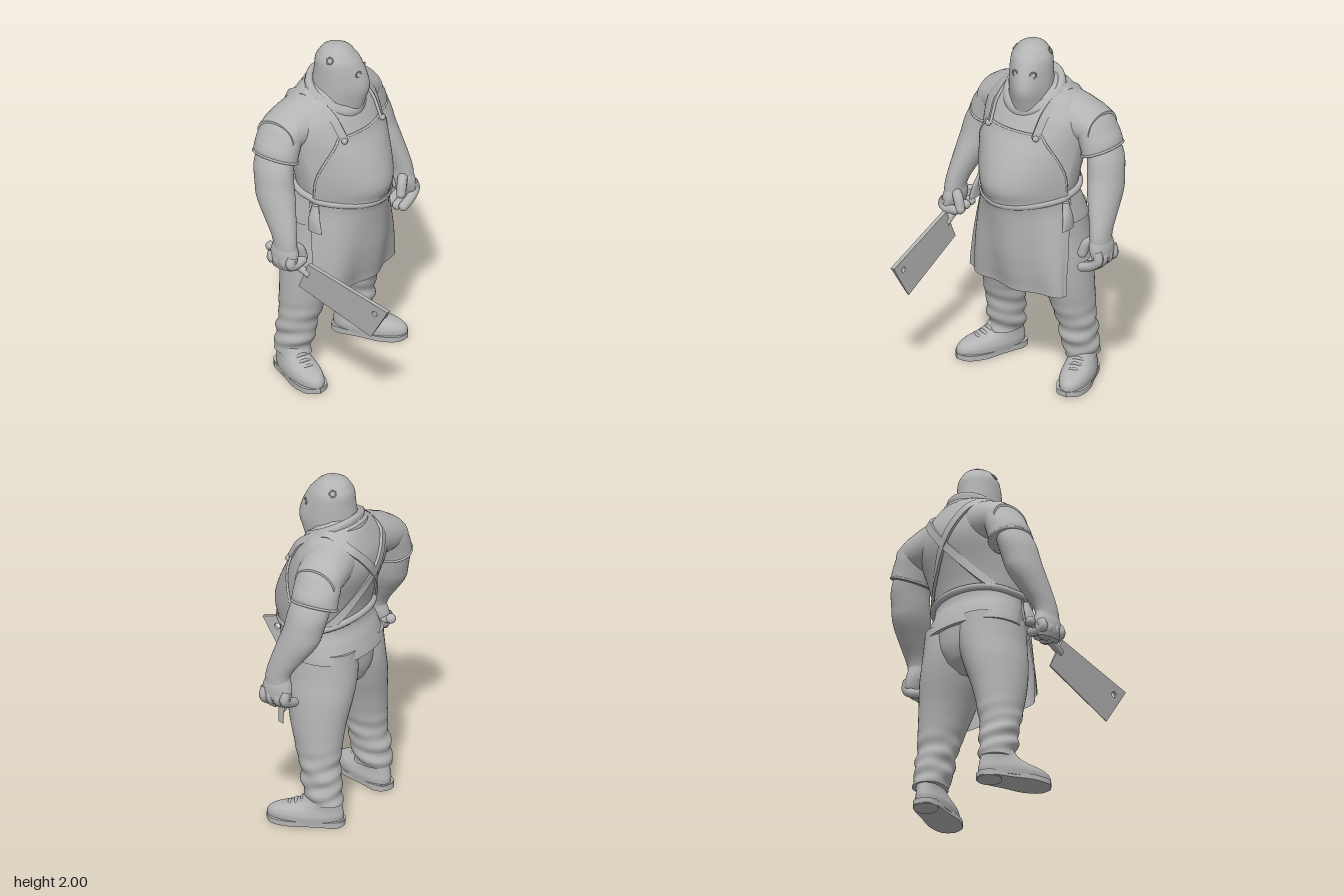
import * as THREE from 'three';
import { toCreasedNormals } from 'three/addons/utils/BufferGeometryUtils.js';

const clay = new THREE.MeshStandardMaterial({ color: 0xb4b4b4, side: THREE.DoubleSide });
clay.name = 'clayGrey';
const V = (x, y, z) => new THREE.Vector3(x, y, z);
function add(parent, name, geo) {
  const m = new THREE.Mesh(geo, clay);
  m.name = name;
  parent.add(m);
  return m;
}
// Surface through a list of rings; closed rings also get end caps
function skin(rings, closed = true, crease = 0.9) {
  const n = rings[0].length, pos = [], idx = [];
  rings.forEach(r => r.forEach(p => pos.push(p.x, p.y, p.z)));
  for (let i = 0; i < rings.length - 1; i++) {
    for (let j = 0; j < (closed ? n : n - 1); j++) {
      const a = i * n + j, b = i * n + (j + 1) % n;
      idx.push(a, b, b + n, a, b + n, a + n);
    }
  }
  if (closed) [0, rings.length - 1].forEach((i, top) => {
    const c = rings[i].reduce((s, p) => s.add(p), V(0, 0, 0)).divideScalar(n);
    const ci = pos.length / 3;
    pos.push(c.x, c.y, c.z);
    for (let j = 0; j < n; j++) {
      const a = i * n + j, b = i * n + (j + 1) % n;
      if (top) idx.push(a, b, ci); else idx.push(b, a, ci);
    }
  });
  const g = new THREE.BufferGeometry();
  g.setAttribute('position', new THREE.Float32BufferAttribute(pos, 3));
  g.setIndex(idx);
  return toCreasedNormals(g, crease);
}
// Rows are [y, centreX, centreZ, radiusX, radiusZ, tilt, back squareness, front pointedness], rising in y
function section(rows, y) {
  let i = 0;
  while (i < rows.length - 2 && y > rows[i + 1][0]) i++;
  const t = (y - rows[i][0]) / (rows[i + 1][0] - rows[i][0]);
  const at = (k, c) => rows[Math.max(0, Math.min(rows.length - 1, k))][c] || 0;
  return [0, 1, 2, 3, 4, 5, 6, 7].map(c => {
    const p0 = at(i - 1, c), p1 = at(i, c), p2 = at(i + 1, c), p3 = at(i + 2, c);
    if (c === 0) return y;
    return p1 + 0.5 * t * (p2 - p0 + t * (2 * p0 - 5 * p1 + 4 * p2 - p3 + t * (3 * (p1 - p2) + p3 - p0)));
  });
}
function ringPoint(rows, a, y, off = 0) {
  const [, cx, cz, rx, rz, tilt, back, front] = section(rows, y);
  const dx = (rx + off) * Math.sin(a), c = Math.cos(a);
  return V(cx + dx, y + tilt * dx, cz + (rz + off) * (c < 0 ? -Math.pow(-c, 1 - back) : Math.pow(c, 1 + front)));
}
function loft(rows, { n = 40, sub = 5, a = Math.PI, range = null, wave = () => 0, closed = true } = {}) {
  const rings = [], last = (rows.length - 1) * sub;
  for (let s = 0; s <= last; s++) {
    const i = Math.min(rows.length - 2, Math.floor(s / sub));
    const y = THREE.MathUtils.lerp(rows[i][0], rows[i + 1][0], s / sub - i);
    const lim = range ? range(y) : a;
    rings.push(Array.from({ length: n }, (_, j) => {
      const ang = -lim + 2 * lim * j / (closed ? n : n - 1);
      return ringPoint(rows, ang, y, wave(ang, y));
    }));
  }
  return skin(rings, closed);
}
const mirror = (rows, s) => rows.map(([y, cx, cz, rx, rz, tilt = 0]) => [y, cx * s, cz, rx, rz, tilt * s]);
const tube = (pts, r, closed = false, seg = 40) =>
  new THREE.TubeGeometry(new THREE.CatmullRomCurve3(pts, closed), seg, r, 10, closed);
// Flat band whose face looks away from the torso axis
function ribbon(pts, w, h) {
  const curve = new THREE.CatmullRomCurve3(pts), rings = [];
  for (let i = 0; i <= 60; i++) {
    const p = curve.getPoint(i / 60), t = curve.getTangent(i / 60);
    const nrm = p.clone().sub(V(0, Math.min(p.y, 1.5), -0.22)).projectOnPlane(t).normalize();
    const s = t.clone().cross(nrm);
    rings.push([[1, -1], [1, 1], [-1, 1], [-1, -1]].map(([u, v]) =>
      p.clone().addScaledVector(nrm, u * h / 2).addScaledVector(s, v * w / 2)));
  }
  return skin(rings, true, 0.6);
}
const body = [
  [0.98, 0, -0.215, 0.31, 0.245, 0, 0.3, 0.6], [1.08, 0, -0.18, 0.295, 0.25, 0, 0.3, 0.8],
  [1.15, 0, -0.15, 0.285, 0.25, 0, 0.3, 0.95], [1.22, 0, -0.145, 0.295, 0.255, 0, 0.3, 0.95],
  [1.35, 0, -0.18, 0.31, 0.25, 0, 0.3, 0.6], [1.5, 0, -0.24, 0.32, 0.235, 0, 0.3, 0.1],
  [1.6, 0, -0.265, 0.31, 0.205, 0, 0.3], [1.68, 0, -0.275, 0.255, 0.165, 0, 0.3],
  [1.74, 0, -0.28, 0.17, 0.13, 0, 0.3], [1.78, 0, -0.28, 0.1, 0.09, 0, 0.3]];
const onBody = (x, y, side, off) => {
  const a = Math.asin(x / (section(body, y)[3] + off));
  return ringPoint(body, side > 0 ? a : Math.PI - a, y, off);
};

function buildTorso(g) {
  add(g, 'tunic', loft(body, { n: 64 }));
  // Shoulder yoke runs sideways: [x, y, z, height radius, depth radius]
  const yoke = [[0.39, 1.535, -0.335, 0.09, 0.127], [0.33, 1.55, -0.33, 0.114, 0.138], [0.25, 1.567, -0.315, 0.132, 0.148],
    [0.15, 1.59, -0.3, 0.14, 0.15], [0, 1.61, -0.295, 0.145, 0.15]];
  const rings = [...yoke, ...yoke.slice(0, 4).reverse().map(([x, ...r]) => [-x, ...r])].reverse()
    .map(([x, y, z, ry, rz]) => Array.from({ length: 32 }, (_, j) => {
      const a = j * Math.PI / 16;
      return V(x, y + ry * Math.cos(a), z + rz * Math.sin(a));
    }));
  add(g, 'shoulderYoke', skin(rings));
  add(g, 'trouserSeat', loft([[0.75, 0, -0.24, 0.05, 0.1], [0.8, 0, -0.238, 0.12, 0.165],
    [0.88, 0, -0.234, 0.22, 0.2], [1.03, 0, -0.22, 0.285, 0.22]]));
}

function buildApron(g) {
  const limit = y => THREE.MathUtils.lerp(1.55, 0.58, Math.pow(Math.max(0, (y - 1.1) / 0.43), 1.4));
  const bib = [1.1, 1.2, 1.3, 1.42, 1.53].map(y => section(body, y));
  add(g, 'apronBib', loft(bib, { range: limit, closed: false, wave: () => 0.014 }));
  const edge = [];
  for (let i = 0; i <= 10; i++) edge.push(ringPoint(body, -limit(1.12 + 0.041 * i), 1.12 + 0.041 * i, 0.009));
  for (let i = 1; i < 6; i++) edge.push(ringPoint(body, -0.58 + 1.16 * i / 6, 1.53, 0.009));
  for (let i = 10; i >= 0; i--) edge.push(ringPoint(body, limit(1.12 + 0.041 * i), 1.12 + 0.041 * i, 0.009));
  add(g, 'bibPiping', tube(edge, 0.007, false, 120));
  const skirt = [[0.575, 0, -0.09, 0.335, 0.095, 0, 0, 0.4], [0.68, 0, -0.095, 0.33, 0.125, 0, 0, 0.5],
    [0.8, 0, -0.11, 0.325, 0.163, 0, 0, 0.6], [0.95, 0, -0.13, 0.312, 0.2, 0, 0, 0.7],
    [1.07, 0, -0.15, 0.3, 0.238, 0, 0, 0.8], [1.15, 0, -0.15, 0.298, 0.266, 0, 0, 0.9]];
  const fold = (a, y) => 0.012 * Math.sin(7 * a + 0.6) * Math.max(0, 1.12 - y) / 0.5;
  add(g, 'apronSkirt', loft(skirt, { n: 72, a: 1.65, closed: false, wave: fold }));
  add(g, 'apronTie', tube(Array.from({ length: 32 }, (_, i) => {
    const a = i * Math.PI / 16;
    return ringPoint(body, a, 1.16 - 0.045 * Math.cos(a), 0.006);
  }), 0.02, true, 100));
  for (const s of [-1, 1]) {
    // Shoulder strap runs over and crosses the back
    const pts = [1.51, 1.57, 1.63].map((y, i) => onBody(s * (0.16 + i * 0.006), y, 1, 0.012));
    pts.push(V(s * 0.176, 1.7, -0.2), V(s * 0.172, 1.737, -0.29));
    for (let i = 0; i <= 8; i++) pts.push(onBody(s * (0.16 - 0.4 * i / 8), 1.67 - 0.48 * i / 8, -1, 0.008));
    add(g, 'apronStrap', ribbon(pts, 0.045, 0.016));
    add(g, 'strapButton', new THREE.SphereGeometry(0.018, 14, 10)).position.copy(onBody(s * 0.165, 1.515, 1, 0.018));
    add(g, 'hipCloth', loft(mirror([[0.98, 0.325, -0.11, 0.012, 0.05], [1.05, 0.318, -0.12, 0.016, 0.04],
      [1.13, 0.295, -0.13, 0.018, 0.02]], s), { n: 16 }));
  }
}

function buildHead(g) {
  const head = new THREE.Group();
  head.name = 'head';
  head.position.z = -0.2;
  head.rotation.y = 0.35;
  g.add(head);
  const hood = [[1.58, 0, -0.03, 0.14, 0.14], [1.68, 0, -0.012, 0.128, 0.152], [1.76, 0, 0.003, 0.124, 0.157],
    [1.85, 0, 0, 0.121, 0.141], [1.92, 0, -0.01, 0.112, 0.122], [1.97, 0, -0.015, 0.08, 0.086],
    [1.99, 0, -0.015, 0.048, 0.054], [2.0, 0, -0.015, 0.004, 0.004]];
  // Face narrows to a soft ridge
  const ridge = (a, y) => 0.014 * Math.cos(3 * a) * Math.max(0, Math.cos(a)) * Math.min(1, Math.max(0, 1.97 - y) / 0.15);
  add(head, 'hood', loft(hood, { n: 48, wave: ridge }));
  for (const [name, a, y, r] of [['eyeHole', 0.44, 1.855, 0.017], ['eyeHole', -0.44, 1.855, 0.017],
    ['tornHole', -1.65, 1.94, 0.018], ['tornHole', 1.75, 1.94, 0.018]]) {
    const rim = add(head, name, new THREE.TorusGeometry(r, 0.004, 8, 20));
    rim.position.copy(ringPoint(hood, a, y, ridge(a, y) + 0.001));
    rim.rotation.set(y > 1.9 ? -0.6 : 0, a, 0, 'YXZ');
  }
  // Draped cloth round the neck, hanging lower in front
  const drape = [[1.1, -0.085], [1.2, -0.065], [1.24, -0.035], [1.2, -0.005], [1.08, 0.002], [1.05, 0.01],
    [1.1, 0.025], [1.06, 0.05], [0.95, 0.065], [0.83, 0.058], [0.7, 0.03]];
  add(g, 'collar', skin(drape.map(([k, dy]) => Array.from({ length: 48 }, (_, i) => {
    const a = i * Math.PI / 24, c = Math.cos(a);
    return V(0.166 * k * Math.sin(a), 1.682 + dy - (c > 0 ? 0.072 + 0.022 * c : 0.072) * c * k, -0.225 + 0.148 * k * c);
  })), true, 1.2));
}

function buildArm(g, s) {
  const arm = new THREE.Group();
  arm.name = s > 0 ? 'leftArm' : 'rightArm';
  g.add(arm);
  const sleeve = mirror([[1.405, 0.39, -0.335, 0.095, 0.137, 0.4], [1.45, 0.38, -0.335, 0.1, 0.137, 0.3],
    [1.52, 0.352, -0.335, 0.098, 0.137, 0.1], [1.59, 0.328, -0.33, 0.083, 0.128], [1.64, 0.295, -0.325, 0.065, 0.095],
    [1.67, 0.26, -0.32, 0.03, 0.04]], s);
  add(arm, 'sleeve', loft(sleeve));
  add(arm, 'cuff', tube(Array.from({ length: 20 }, (_, i) => ringPoint(sleeve, i * Math.PI / 10, 1.41)), 0.007, true, 60));
  add(arm, 'forearm', loft(mirror([[0.93, 0.51, -0.17, 0.053, 0.074], [1.0, 0.506, -0.178, 0.056, 0.075],
    [1.1, 0.485, -0.225, 0.072, 0.098], [1.2, 0.46, -0.275, 0.09, 0.118], [1.28, 0.443, -0.3, 0.095, 0.117],
    [1.38, 0.424, -0.32, 0.092, 0.12], [1.5, 0.38, -0.33, 0.08, 0.11]], s)));
  add(arm, 'palm', loft(mirror([[0.825, 0.522, -0.175, 0.03, 0.07], [0.86, 0.522, -0.175, 0.044, 0.088],
    [0.92, 0.512, -0.173, 0.056, 0.087], [0.98, 0.506, -0.175, 0.05, 0.07]], s)));
  // The left fingers hang loose, the right ones grip
  const curl = s > 0 ? [[0.53, 0.905], [0.545, 0.855], [0.5, 0.805], [0.435, 0.782]]
    : [[0.53, 0.91], [0.545, 0.87], [0.515, 0.845], [0.45, 0.855]];
  for (let i = 0; i < 4; i++) {
    const d = 0.008 * Math.abs(i - 2);
    const pts = curl.map(([x, y], k) => V(s * x, y + (k > 1 ? d : 0), -0.24 + 0.044 * i + 0.003 * k));
    add(arm, 'finger', tube(pts, 0.027, false, 18));
    add(arm, 'fingerTip', new THREE.SphereGeometry(0.027, 12, 8)).position.copy(pts[3]);
  }
  const thumb = [V(s * 0.5, 0.965, -0.15), V(s * 0.45, 0.93, -0.12), V(s * 0.428, 0.87, -0.11)];
  add(arm, 'thumb', tube(thumb, 0.028, false, 16));
  add(arm, 'thumbTip', new THREE.SphereGeometry(0.028, 12, 8)).position.copy(thumb[2]);
}

function buildLeg(g, s) {
  const leg = new THREE.Group();
  leg.name = s > 0 ? 'leftLeg' : 'rightLeg';
  g.add(leg);
  const wrinkle = (a, y) => THREE.MathUtils.smoothstep(0.55 - y, 0, 0.3)
    * (0.005 * Math.sin(y * 70 + 2.2 * Math.sin(a + s)) + 0.004 * Math.sin(y * 41 - 3 * Math.cos(a)));
  add(leg, 'trouserLeg', loft(mirror([[0.135, 0.265, -0.315, 0.088, 0.108], [0.18, 0.26, -0.313, 0.094, 0.112],
    [0.25, 0.256, -0.3, 0.1, 0.114], [0.35, 0.25, -0.285, 0.106, 0.116], [0.45, 0.238, -0.27, 0.115, 0.135],
    [0.6, 0.213, -0.252, 0.135, 0.165], [0.75, 0.177, -0.243, 0.157, 0.195], [0.88, 0.145, -0.236, 0.165, 0.208],
    [1.03, 0.135, -0.228, 0.16, 0.208]], s), { sub: 9, wave: wrinkle }));
  // Boot, turned outward
  const boot = new THREE.Group();
  boot.name = 'boot';
  boot.position.set(s * 0.272, 0, -0.32);
  boot.rotation.y = s * 0.36;
  leg.add(boot);
  add(boot, 'bootUpper', loft([[0.02, 0, 0.1, 0.086, 0.21], [0.06, 0, 0.098, 0.09, 0.213], [0.09, 0, 0.085, 0.084, 0.195],
    [0.115, 0, 0.045, 0.076, 0.15], [0.14, 0, 0.015, 0.073, 0.115], [0.2, 0, -0.005, 0.068, 0.088]]));
  const outline = new THREE.Shape(new THREE.SplineCurve([[0, 0.316], [0.065, 0.28], [0.092, 0.18], [0.08, 0.06], [0.072, -0.05],
    [0.045, -0.11], [0, -0.122], [-0.045, -0.11], [-0.072, -0.05], [-0.08, 0.06], [-0.092, 0.18], [-0.065, 0.28], [0, 0.316]]
    .map(([x, y]) => new THREE.Vector2(x, -y))).getPoints(48));
  const sole = add(boot, 'sole', new THREE.ExtrudeGeometry(outline, { depth: 0.03, bevelEnabled: false }));
  sole.rotation.x = -Math.PI / 2;
  sole.position.y = 0.004;
  add(boot, 'heel', new THREE.CylinderGeometry(0.07, 0.07, 0.036, 24)).position.set(0, 0.018, -0.05);
  for (let i = 0; i < 3; i++) {
    const y = 0.152 - 0.017 * i, z = 0.11 + 0.035 * i;
    add(boot, 'lace', tube([V(-0.05, y - 0.025, z - 0.01), V(0, y, z + 0.008), V(0.05, y - 0.025, z - 0.01)], 0.009, false, 14));
  }
}

function buildCleaver(g) {
  const cleaver = new THREE.Group();
  cleaver.name = 'cleaver';
  g.add(cleaver);
  const shape = new THREE.Shape([[-0.03, 0.875], [-0.11, 0.7], [0.36, 0.53], [0.49, 0.74]].map(p => new THREE.Vector2(...p)));
  const hole = new THREE.Path();
  hole.absarc(0.4, 0.7, 0.017, 0, Math.PI * 2, true);
  shape.holes.push(hole);
  const geo = new THREE.ExtrudeGeometry(shape, { depth: 0.024, bevelEnabled: false, curveSegments: 10 });
  geo.translate(0, 0, -0.012).rotateY(-Math.PI / 2);
  // Blade leans and its lower edge thins out
  const p = geo.attributes.position;
  for (let i = 0; i < p.count; i++) {
    const y = p.getY(i), z = p.getZ(i), drop = 0.875 - 0.26 * (z + 0.03) - y;
    p.setX(i, p.getX(i) * (1 - 3.5 * Math.max(0, drop)) - 0.468 + 0.07 * z + 0.08 * (0.85 - y));
  }
  geo.computeVertexNormals();
  add(cleaver, 'blade', geo);
  const end = V(-0.495, 0.905, -0.285);
  add(cleaver, 'handle', tube([V(-0.468, 0.8, -0.03), V(-0.478, 0.84, -0.12), end], 0.021, false, 16));
  add(cleaver, 'pommel', new THREE.SphereGeometry(0.028, 14, 10)).position.copy(end);
}

export function createModel() {
  const g = new THREE.Group();
  g.name = 'hoodedButcher';
  [buildTorso, buildApron, buildHead, buildCleaver].forEach(build => build(g));
  for (const s of [-1, 1]) {
    buildArm(g, s);
    buildLeg(g, s);
  }
  return g;
}
